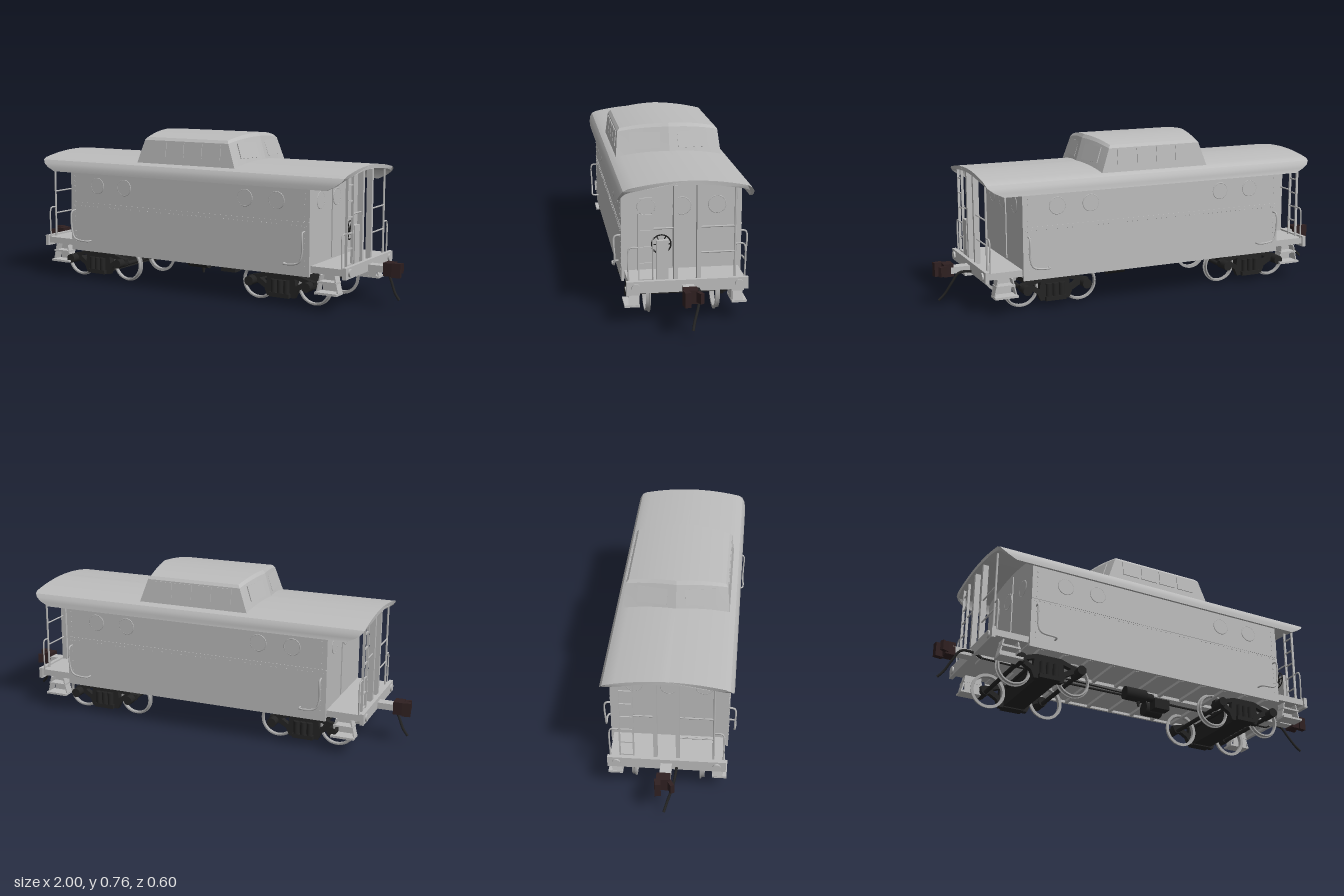
import * as THREE from 'three';
import { toCreasedNormals, mergeGeometries } from 'three/addons/utils/BufferGeometryUtils.js';

const paint = new THREE.MeshStandardMaterial({ color: 0xbcbcbc, name: 'light grey paint' });
const black = new THREE.MeshStandardMaterial({ color: 0x242424, name: 'black iron' });
const rust = new THREE.MeshStandardMaterial({ color: 0x2f2021, name: 'dark brown iron' });
const steel = new THREE.MeshStandardMaterial({ color: 0xa6a6a6, name: 'wheel steel' });
const V = (x, y, z) => new THREE.Vector3(x, y, z);

function add(parent, name, geo, mat, x = 0, y = 0, z = 0) {
  const m = new THREE.Mesh(geo, mat);
  m.name = name;
  m.position.set(x, y, z);
  parent.add(m);
  return m;
}
const box = (p, name, mat, w, h, d, x, y, z) => add(p, name, new THREE.BoxGeometry(w, h, d), mat, x, y, z);

function tube(parent, name, mat, pts, r, seg = 20) {
  const curve = pts.length === 2 ? new THREE.LineCurve3(...pts) : new THREE.CatmullRomCurve3(pts);
  return add(parent, name, new THREE.TubeGeometry(curve, pts.length === 2 ? 1 : seg, r, 6), mat);
}
function cyl(parent, name, mat, r, len, axis, x, y, z, r2 = r) {
  const m = add(parent, name, new THREE.CylinderGeometry(r, r2, len, 24), mat, x, y, z);
  if (axis === 'x') m.rotation.z = -Math.PI / 2;
  if (axis === 'z') m.rotation.x = Math.PI / 2;
  return m;
}
function group(parent, name) {
  const g = new THREE.Group();
  g.name = name;
  parent.add(g);
  return g;
}

// Extrudes a (z, y) section along x, centred
function alongX(pts, len) {
  const s = new THREE.Shape(pts.map(p => new THREE.Vector2(p[0], p[1])));
  return new THREE.ExtrudeGeometry(s, { depth: len, bevelEnabled: false })
    .translate(0, 0, -len / 2).rotateY(Math.PI / 2);
}
function arch(from, to, crown, n = 16) {
  return Array.from({ length: n + 1 }, (_, i) => {
    const z = from + (to - from) * i / n;
    return [z, crown - 0.03 * (z / 0.26) ** 2];
  });
}

function roofGeometry() {
  const eave = [[0.27, 0.6], [0.281, 0.583], [0.286, 0.565], [0.287, 0.545], [0.276, 0.545], [0.274, 0.565], [0.262, 0.586]];
  const left = eave.map(([z, y]) => [-z, y]).reverse();
  const geo = alongX([...arch(-0.25, 0.25, 0.638), ...eave, ...arch(0.24, -0.24, 0.62), ...left], 1.67);
  // Eaves sweep inwards at the ends
  const p = geo.attributes.position;
  for (let i = 0; i < p.count; i++) {
    const t = THREE.MathUtils.clamp((0.612 - p.getY(i)) / 0.067, 0, 1);
    p.setX(i, Math.sign(p.getX(i)) * (0.835 - 0.08 * t * t));
  }
  return toCreasedNormals(geo, 0.5);
}

function cupolaGeometry() {
  const geo = new THREE.BoxGeometry(2, 1, 2, 2, 10, 16).translate(0, 0.5, 0);
  const p = geo.attributes.position;
  for (let i = 0; i < p.count; i++) {
    const u = p.getX(i), v = p.getY(i), w = p.getZ(i);
    const round = Math.max(0, (v - 0.9) / 0.1) * 0.01;
    const hx = 0.31 - 0.048 * v - 0.035 * Math.abs(w) - round * 0.5;
    p.setXYZ(i, u * hx, 0.6 + v * (0.135 + 0.026 * (1 - w * w)), w * (0.245 - 0.013 * v - round));
  }
  return toCreasedNormals(geo.toNonIndexed(), 0.2);
}

function porthole(parent, x, y, z, axis) {
  const g = group(parent, 'porthole');
  cyl(g, 'pane', paint, 0.038, 0.004, axis, x, y, z);
  const ring = add(g, 'porthole rim', new THREE.TorusGeometry(0.038, 0.0025, 6, 32), paint, x, y, z);
  if (axis === 'x') ring.rotation.y = Math.PI / 2;
}

function buildBody(root) {
  const g = group(root, 'body');
  add(g, 'cabin', toCreasedNormals(alongX([[-0.263, 0.165], ...arch(-0.263, 0.263, 0.626), [0.263, 0.165]], 1.33), 0.4), paint);
  add(g, 'roof', roofGeometry(), paint);
  add(g, 'cupola', cupolaGeometry(), paint);
  const dots = [];
  for (const s of [-1, 1]) {
    box(g, 'side sill', paint, 1.33, 0.02, 0.012, 0, 0.163, s * 0.257);
    box(g, 'belt strip', paint, 1.33, 0.008, 0.004, 0, 0.393, s * 0.263);
    for (const x of [-0.5, -0.337, 0.337, 0.5]) porthole(g, x, 0.485, s * 0.264, 'z');
    // Rivet rows
    const dot = (x, y) => dots.push(new THREE.BoxGeometry(0.004, 0.004, 0.004).translate(x, y, s * 0.264));
    for (let i = 0; i < 53; i++) dot(-0.65 + i * 0.025, 0.38);
    for (let i = 0; i < 14; i++) for (const e of [-1, 1]) dot(e * 0.64, 0.2 + i * 0.025);
    // Cupola windows, sides and ends
    for (let i = 0; i < 4; i++) {
      const w = box(g, 'cupola side window', paint, 0.085, 0.07, 0.006, -0.15 + i * 0.1, 0.68, s * 0.238);
      w.rotation.x = -s * 0.095;
    }
    for (const e of [-1, 1]) {
      const w = box(g, 'cupola end window', paint, 0.14, 0.075, 0.006, e * 0.267, 0.685, s * 0.11);
      w.rotation.set(-0.32, e * (Math.PI / 2 - s * 0.14), 0, 'YXZ');
      // Curved grab rail
      tube(g, 'side grab rail', paint, [V(e * 0.64, 0.355, s * 0.262), V(e * 0.642, 0.35, s * 0.289), V(e * 0.642, 0.26, s * 0.29),
        V(e * 0.625, 0.218, s * 0.29), V(e * 0.55, 0.207, s * 0.289), V(e * 0.545, 0.207, s * 0.262)], 0.0045, 30);
    }
  }
  add(g, 'rivets', mergeGeometries(dots), paint);
}

function buildEnd(root, turn) {
  const g = group(root, 'end platform');
  g.rotation.y = turn;
  box(g, 'platform deck', paint, 0.17, 0.03, 0.5, 0.75, 0.187, 0);
  box(g, 'end beam', paint, 0.018, 0.052, 0.52, 0.832, 0.184, 0);
  // End wall: door and round windows
  box(g, 'door', paint, 0.008, 0.39, 0.082, 0.666, 0.405, 0);
  for (const z of [-0.155, 0, 0.155]) porthole(g, z ? 0.665 : 0.671, 0.485, z, 'x');
  for (const s of [-1, 1]) {
    box(g, 'door post', paint, 0.026, 0.42, 0.017, 0.812, 0.405, s * 0.049);
    cyl(g, 'beam disc', paint, 0.018, 0.014, 'x', 0.842, 0.184, s * 0.22);
    tube(g, 'corner rail', paint, [V(0.815, 0.2, s * 0.248), V(0.815, 0.34, s * 0.248), V(0.815, 0.352, s * 0.24), V(0.815, 0.352, s * 0.205)], 0.004);
    // Boarding steps
    const steps = group(g, 'boarding steps');
    box(steps, 'upper tread', paint, 0.09, 0.008, 0.055, 0.745, 0.135, s * 0.225);
    box(steps, 'lower tread', paint, 0.11, 0.01, 0.065, 0.745, 0.086, s * 0.231);
    box(steps, 'step back', paint, 0.08, 0.08, 0.006, 0.745, 0.125, s * 0.202);
    for (const e of [-1, 1]) {
      box(steps, 'step side', paint, 0.006, 0.085, 0.045, 0.745 + e * 0.043, 0.125, s * 0.224).rotation.z = e * 0.22;
    }
  }
  // Ladder
  for (const z of [0.145, 0.205]) box(g, 'ladder rail', paint, 0.012, 0.41, 0.006, 0.815, 0.405, z);
  for (let i = 0; i < 6; i++) box(g, 'ladder rung', paint, 0.006, 0.006, 0.06, 0.815, 0.21 + i * 0.0705, 0.175);
  // Railing opposite the ladder
  tube(g, 'railing post', paint, [V(0.815, 0.2, -0.205), V(0.815, 0.607, -0.205)], 0.005);
  for (const y of [0.32, 0.432]) tube(g, 'railing bar', paint, [V(0.815, y, -0.05), V(0.815, y, -0.205)], 0.004);
  tube(g, 'railing bar', paint, [V(0.815, 0.432, 0.05), V(0.815, 0.432, 0.145)], 0.004);
  // Coupler and air hose
  const c = group(g, 'coupler');
  box(c, 'draft gear', paint, 0.16, 0.03, 0.05, 0.85, 0.175, 0);
  box(c, 'coupler head', rust, 0.045, 0.06, 0.06, 0.94, 0.177, 0.005);
  box(c, 'coupler knuckle', rust, 0.04, 0.065, 0.026, 0.978, 0.177, 0.026).rotation.y = 0.15;
  box(c, 'coupler jaw', rust, 0.036, 0.045, 0.018, 0.97, 0.177, -0.03).rotation.y = 0.5;
  tube(g, 'air hose', black, [V(0.8, 0.15, -0.045), V(0.85, 0.17, -0.045), V(0.9, 0.165, -0.042), V(0.93, 0.12, -0.03), V(0.96, 0.065, -0.01), V(0.985, 0.037, 0)], 0.006);
  return g;
}

function buildBrake(end) {
  const g = group(end, 'hand brake');
  box(g, 'brake stand', paint, 0.02, 0.18, 0.05, 0.812, 0.29, 0.105);
  const wheel = group(g, 'brake wheel');
  wheel.position.set(0.785, 0.353, 0.105);
  wheel.rotation.y = Math.PI / 2;
  add(wheel, 'wheel rim', new THREE.TorusGeometry(0.041, 0.003, 6, 32), black);
  cyl(wheel, 'wheel hub', black, 0.012, 0.016, 'z', 0, 0, 0);
  for (let i = 0; i < 3; i++) box(wheel, 'wheel spoke', black, 0.08, 0.004, 0.004, 0, 0, 0).rotation.z = i * Math.PI / 3;
}

const wheelProfile = [[0.071, 0], [0.085, 0], [0.085, 0.005], [0.08, 0.007], [0.078, 0.02], [0.071, 0.02], [0.071, 0]].map(p => new THREE.Vector2(...p));

function buildTruck(root, x) {
  const g = group(root, 'truck');
  g.position.x = x;
  const half = [[0.07, 0.035], [0.085, 0.07], [0.12, 0.09], [0.165, 0.088], [0.168, 0.118], [0.12, 0.13], [0.06, 0.15]];
  const outline = [...half, ...half.map(([a, b]) => [-a, b]).reverse()].map(p => new THREE.Vector2(...p));
  const shape = new THREE.Shape(outline);
  for (const e of [-1, 1]) {
    shape.holes.push(new THREE.Path([[0.07, 0.125], [0.11, 0.113], [0.075, 0.09]].map(([a, b]) => new THREE.Vector2(e * a, b))));
  }
  const frame = new THREE.ExtrudeGeometry(shape, { depth: 0.025, bevelEnabled: false });
  for (const s of [-1, 1]) {
    add(g, 'side frame', frame, black, 0, 0, s * 0.195 - 0.0125);
    box(g, 'spring plank', black, 0.1, 0.02, 0.05, 0, 0.045, s * 0.2);
    for (const e of [-1, 0, 1]) cyl(g, 'spring', black, 0.014, 0.06, 'y', e * 0.032, 0.085, s * 0.212);
    for (const e of [-1, 1]) {
      cyl(g, 'journal box', black, 0.022, 0.075, 'z', e * 0.145, 0.1, s * 0.21);
      const w = add(g, 'wheel', new THREE.LatheGeometry(wheelProfile, 40), steel, e * 0.145, 0.085, s * 0.142);
      w.geometry = toCreasedNormals(w.geometry.toNonIndexed(), 0.5);
      w.rotation.x = s * Math.PI / 2;
    }
  }
  box(g, 'bolster', black, 0.1, 0.08, 0.36, 0, 0.08, 0);
  cyl(g, 'centre plate', black, 0.04, 0.05, 'y', 0, 0.14, 0);
  for (const e of [-1, 1]) {
    cyl(g, 'axle', black, 0.01, 0.36, 'z', e * 0.145, 0.09, 0);
    box(g, 'brake beam', black, 0.012, 0.012, 0.28, e * 0.06, 0.118, 0);
  }
}

function buildUnderframe(root) {
  const g = group(root, 'underframe');
  box(g, 'centre sill', paint, 1.6, 0.02, 0.07, 0, 0.16, 0);
  for (let i = 0; i < 11; i++) box(g, 'cross beam', paint, 0.016, 0.016, 0.5, -0.6 + i * 0.12, 0.16, 0);
  // Brake gear
  cyl(g, 'brake cylinder', black, 0.032, 0.11, 'x', -0.03, 0.125, 0.06);
  cyl(g, 'cylinder cap', black, 0.02, 0.04, 'x', 0.045, 0.125, 0.06);
  cyl(g, 'drain valve', black, 0.012, 0.06, 'y', -0.01, 0.1, 0.06, 0.006);
  cyl(g, 'air reservoir', black, 0.035, 0.09, 'x', 0.125, 0.115, -0.05);
  box(g, 'valve block', black, 0.08, 0.05, 0.05, 0.125, 0.11, 0.03);
  tube(g, 'brake rod', black, [V(-0.48, 0.125, 0.03), V(0.45, 0.125, 0.03)], 0.005);
  tube(g, 'brake pipe', black, [V(-0.8, 0.15, 0.045), V(0.8, 0.15, -0.045)], 0.005);
}

export function createModel() {
  const root = new THREE.Group();
  root.name = 'railway brake van';
  buildBody(root);
  buildBrake(buildEnd(root, 0));
  buildEnd(root, Math.PI);
  buildTruck(root, -0.545);
  buildTruck(root, 0.495);
  buildUnderframe(root);
  return root;
}
